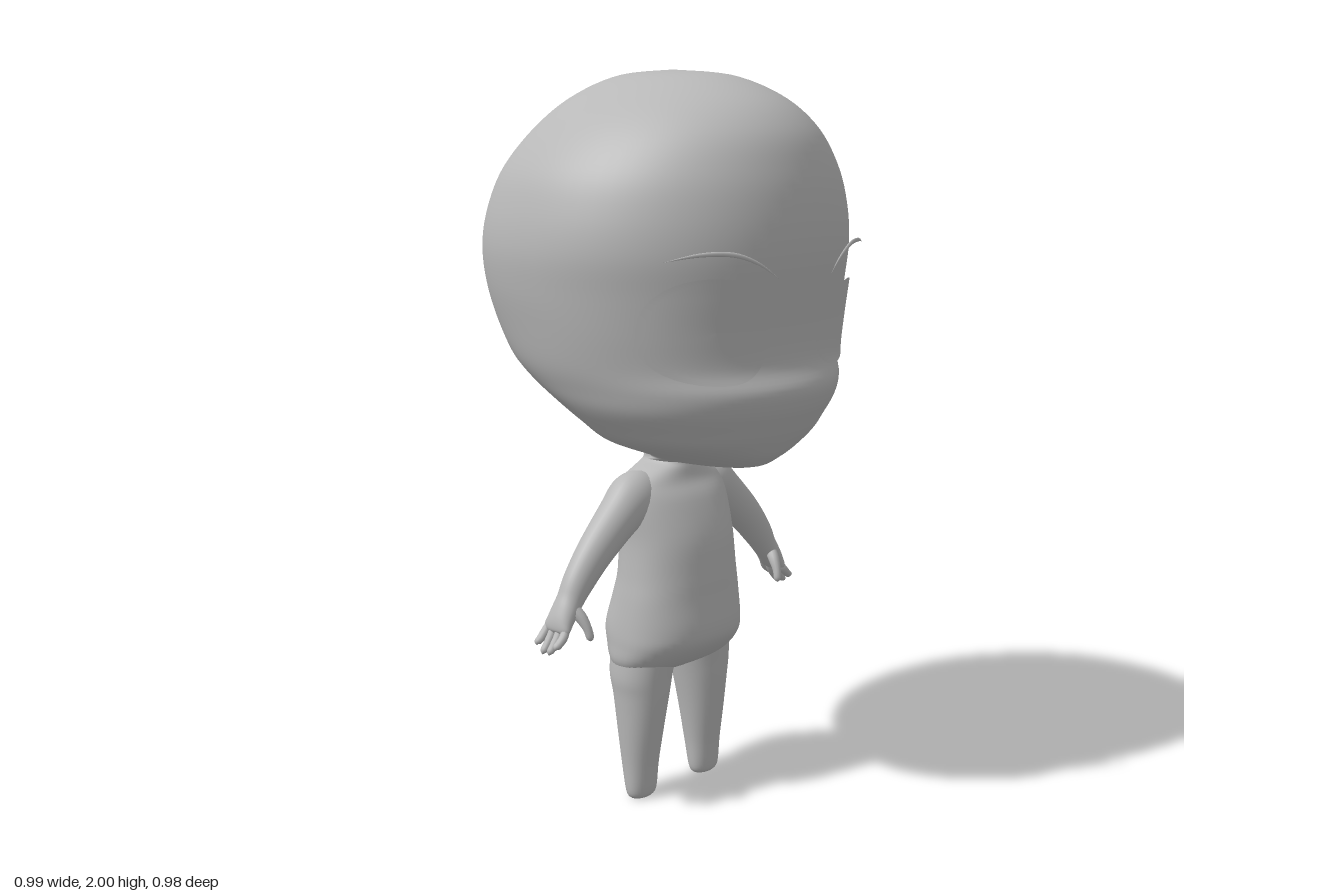
import * as THREE from 'three';

// Catmull-Rom through rows of numbers, t in 0..1
function sample(rows, t) {
  const n = rows.length - 1, f = Math.min(t * n, n - 1e-6), i = Math.floor(f), u = f - i;
  const at = (k) => rows[Math.max(0, Math.min(n, k))];
  return rows[i].map((b, k) => {
    const a = at(i - 1)[k], c = at(i + 1)[k], d = at(i + 2)[k];
    return b + 0.5 * u * (c - a + u * (2 * a - 5 * b + 4 * c - d + u * (3 * (b - c) + d - a)));
  });
}

// Skin a grid of points; rings close on themselves
function skin(steps, sides, point) {
  const pos = [], idx = [];
  for (let i = 0; i <= steps; i++) {
    for (let j = 0; j < sides; j++) pos.push(...point(i / steps, (j / sides) * Math.PI * 2));
  }
  for (let i = 0; i < steps; i++) {
    for (let j = 0; j < sides; j++) {
      const a = i * sides + j, b = i * sides + ((j + 1) % sides);
      idx.push(a, b, a + sides, b, b + sides, a + sides);
    }
  }
  const g = new THREE.BufferGeometry();
  g.setAttribute('position', new THREE.Float32BufferAttribute(pos, 3));
  g.setIndex(idx);
  g.computeVertexNormals();
  return g;
}

const power = (v, p) => Math.sign(v) * Math.abs(v) ** (2 / p);

// Stacked sections, top to bottom: [y, half width, z centre, z front, z back, x centre]
function stack(rows, steps, sides, pFront, pBack, side = 1) {
  return skin(steps, sides, (t, a) => {
    const [y, w, zc, zf, zb, xc] = sample(rows, t);
    const s = Math.sin(a), p = s > 0 ? pFront : pBack;
    return [side * (xc || 0) + w * power(Math.cos(a), p), y, zc + (s > 0 ? zf - zc : zc - zb) * power(s, p)];
  });
}

// Tapering limb along a path: [x, y, z, radius, depth factor]
function limb(rows, steps, sides, side = 1) {
  return skin(steps, sides, (t, a) => {
    const p = sample(rows, t), q0 = sample(rows, Math.max(0, t - 0.01)), q1 = sample(rows, Math.min(1, t + 0.01));
    const T = new THREE.Vector3(side * (q1[0] - q0[0]), q1[1] - q0[1], q1[2] - q0[2]).normalize();
    const N = new THREE.Vector3(-T.y, T.x, 0).normalize();
    const B = T.clone().cross(N);
    return new THREE.Vector3(side * p[0], p[1], p[2])
      .addScaledVector(N, p[3] * Math.cos(a))
      .addScaledVector(B, p[3] * p[4] * Math.sin(a)).toArray();
  });
}

const headRows = [
  [2.0, 0, 0.01, 0.01, 0.01], [1.985, 0.13, 0.02, 0.19, -0.14], [1.93, 0.255, 0.02, 0.33, -0.26],
  [1.85, 0.36, 0.01, 0.415, -0.345], [1.75, 0.44, 0, 0.455, -0.42], [1.65, 0.478, 0, 0.472, -0.467],
  [1.55, 0.493, 0, 0.474, -0.488], [1.45, 0.485, 0, 0.462, -0.48], [1.35, 0.468, 0.02, 0.447, -0.45],
  [1.26, 0.448, 0.03, 0.445, -0.39], [1.2, 0.425, 0.05, 0.47, -0.31], [1.15, 0.4, 0.08, 0.46, -0.22],
  [1.1, 0.36, 0.1, 0.435, -0.14], [1.05, 0.305, 0.13, 0.405, -0.095], [1.0, 0.18, 0.15, 0.365, -0.076],
  [0.97, 0.09, 0.1, 0.3, -0.068], [0.955, 0.07, 0, 0.09, -0.07], [0.93, 0.07, 0, 0.07, -0.07],
];
const torsoRows = [
  [0.985, 0.07, 0, 0.075, -0.07], [0.955, 0.07, 0, 0.075, -0.07], [0.935, 0.11, 0, 0.08, -0.075],
  [0.9, 0.165, 0, 0.09, -0.095], [0.85, 0.18, 0, 0.12, -0.106], [0.75, 0.175, 0.02, 0.155, -0.106],
  [0.65, 0.183, 0.02, 0.166, -0.1], [0.58, 0.193, 0.02, 0.17, -0.12], [0.5, 0.203, 0.01, 0.177, -0.143],
  [0.45, 0.206, 0.01, 0.166, -0.135], [0.4, 0.203, 0, 0.12, -0.105], [0.37, 0.17, 0, 0.07, -0.07],
  [0.355, 0.06, 0, 0.03, -0.03], [0.355, 0, 0, 0, 0],
];
const legRows = [
  [0.45, 0.09, 0, 0.1, -0.09, 0.105], [0.36, 0.086, 0, 0.09, -0.085, 0.117], [0.3, 0.078, 0, 0.084, -0.07, 0.12],
  [0.2, 0.066, 0.005, 0.07, -0.055, 0.125], [0.1, 0.055, 0.008, 0.055, -0.04, 0.128],
  [0.02, 0.049, 0.012, 0.046, -0.022, 0.129], [0, 0.036, 0.012, 0.035, -0.011, 0.129],
];
const armRows = [
  [0.1, 0.87, 0.005, 0.06, 0.9], [0.15, 0.86, 0.005, 0.075, 0.85], [0.21, 0.82, 0.008, 0.063, 0.9],
  [0.3, 0.742, 0.01, 0.053, 0.88], [0.36, 0.675, 0.01, 0.045, 0.9], [0.392, 0.63, 0.01, 0.036, 1.05],
  [0.412, 0.603, 0.01, 0.031, 1.3], [0.43, 0.575, 0.008, 0.025, 1.75], [0.442, 0.553, 0.006, 0.014, 2.8],
  [0.446, 0.547, 0.006, 0, 2.8],
];

// Depth of the face at a given x and y
function faceZ(x, y) {
  let lo = 0, hi = 1;
  for (let i = 0; i < 24; i++) {
    const m = (lo + hi) / 2;
    if (sample(headRows, m)[0] > y) lo = m; else hi = m;
  }
  const [, w, zc, zf] = sample(headRows, lo);
  return zc + (zf - zc) * Math.sqrt(Math.max(0, 1 - (x / w) ** 2));
}

// Eye shell lying just over the face
function eye(cx, cy, rx, ry, tilt, lift) {
  return skin(10, 40, (t, a) => {
    const u = power(Math.cos(a), 2.4), v = power(Math.sin(a), 2.4), r = 1 - t;
    const x = cx + rx * u * r, y = cy + (ry * v + tilt * u) * r;
    return [x, y, faceZ(x, y) + 0.008 + lift * (Math.abs(x) - 0.08)];
  });
}

export function createModel() {
  const root = new THREE.Group();
  const grey = new THREE.MeshStandardMaterial({ color: 0xb8b8b8 });
  grey.name = 'clayGrey';
  const add = (name, geometry) => {
    const m = new THREE.Mesh(geometry, grey);
    m.name = name;
    root.add(m);
  };

  add('head', stack(headRows, 90, 72, 2, 2.15));
  add('torso', stack(torsoRows, 65, 48, 2.25, 2.25));

  // Eyes and brows differ a little from side to side
  add('leftEye', eye(0.218, 1.35, 0.142, 0.108, 0.012, 0.04));
  add('rightEye', eye(-0.257, 1.363, 0.151, 0.134, -0.012, 0.08));
  add('leftBrow', limb([[0.08, 1.49, 0.49, 0, 0.6], [0.14, 1.53, 0.475, 0.004, 0.6], [0.21, 1.557, 0.453, 0.006, 0.6],
    [0.29, 1.558, 0.415, 0.005, 0.6], [0.37, 1.545, 0.365, 0, 0.6]], 24, 8));
  add('rightBrow', limb([[-0.12, 1.49, 0.49, 0, 0.6], [-0.18, 1.532, 0.473, 0.004, 0.6], [-0.25, 1.558, 0.45, 0.006, 0.6],
    [-0.33, 1.56, 0.412, 0.005, 0.6], [-0.41, 1.545, 0.365, 0, 0.6]], 24, 8));

  for (const [side, s] of [['left', 1], ['right', -1]]) {
    add(side + 'Leg', stack(legRows, 36, 32, 2.1, 2.1, s));
    add(side + 'Arm', limb(armRows, 54, 28, s));

    // Four fingers spread across the hand, then the thumb
    [[0.042, 0.515], [0.018, 0.497], [-0.007, 0.495], [-0.03, 0.515]].forEach(([z, tip], i) => {
      const zr = z * 0.75, drop = 0.565 - tip;
      add(side + 'Finger' + (i + 1), limb([[0.428, 0.575, zr, 0.011, 1], [0.446, 0.565 - drop * 0.35, z, 0.012, 1],
        [0.464, 0.565 - drop * 0.7, z, 0.011, 1], [0.475, tip + 0.008, z, 0.009, 1], [0.478, tip, z, 0, 1]], 16, 12, s));
    });
    add(side + 'Thumb', limb([[0.405, 0.615, 0.025, 0.018, 1], [0.393, 0.59, 0.05, 0.016, 1], [0.386, 0.56, 0.068, 0.012, 1],
      [0.382, 0.535, 0.074, 0.01, 1], [0.381, 0.526, 0.075, 0, 1]], 16, 12, s));
  }
  return root;
}
